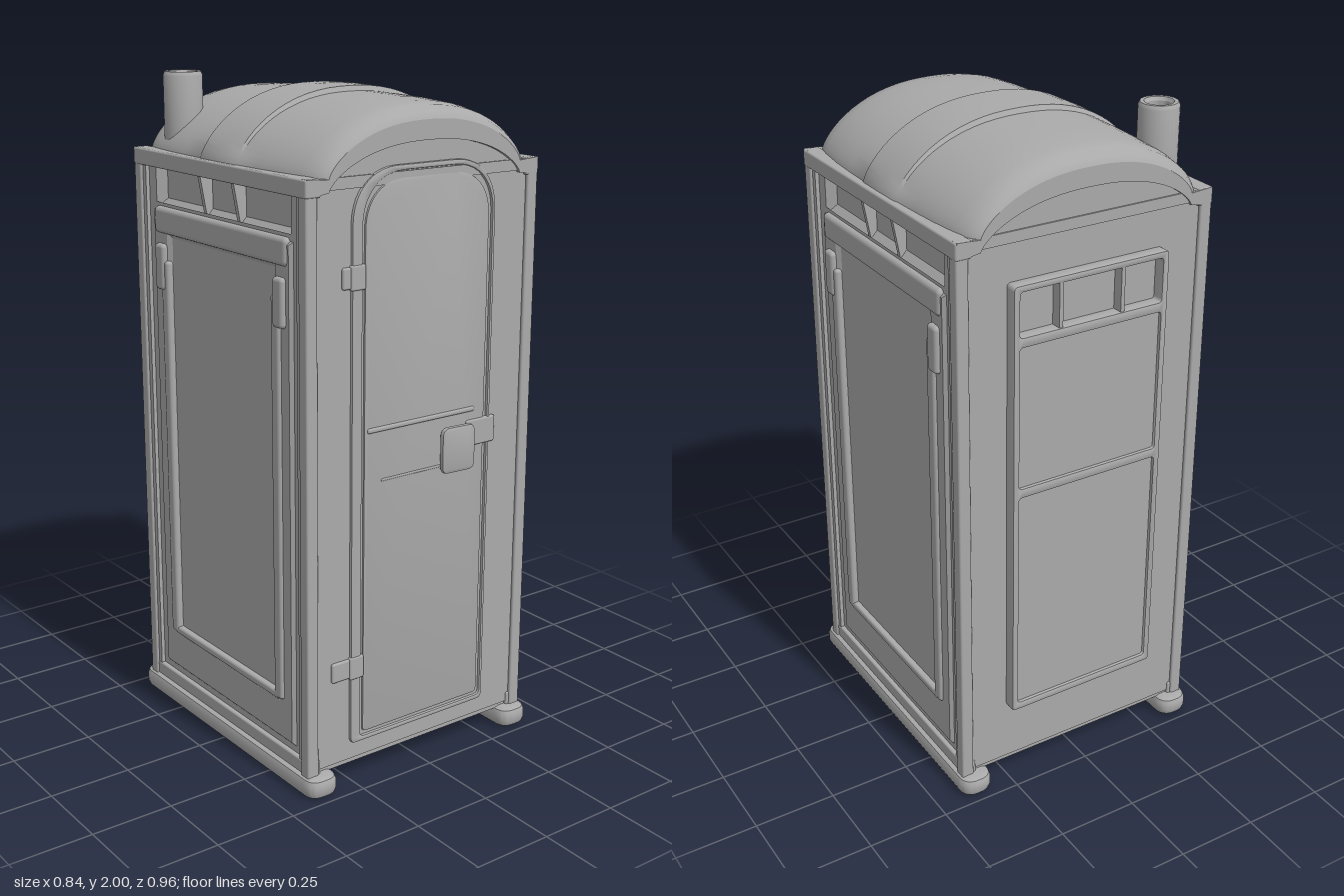
import * as THREE from 'three';
import { toCreasedNormals } from 'three/addons/utils/BufferGeometryUtils.js';
import { RoundedBoxGeometry } from 'three/addons/geometries/RoundedBoxGeometry.js';

const grey = new THREE.MeshStandardMaterial({ color: 0xaaaaaa, side: THREE.DoubleSide });
grey.name = 'grey plastic';

function add(parent, name, geometry, x = 0, y = 0, z = 0) {
  const mesh = new THREE.Mesh(geometry, grey);
  mesh.name = name;
  mesh.position.set(x, y, z);
  parent.add(mesh);
  return mesh;
}

function box(parent, name, x0, x1, y0, y1, z0, z1, radius = 0) {
  const s = [x1 - x0, y1 - y0, z1 - z0];
  const g = radius ? new RoundedBoxGeometry(...s, 3, radius) : new THREE.BoxGeometry(...s);
  return add(parent, name, g, (x0 + x1) / 2, (y0 + y1) / 2, (z0 + z1) / 2);
}

// Surface through rows of points
function loft(rows, crease = 0.5) {
  const n = rows[0].length, index = [];
  for (let r = 0; r < rows.length - 1; r++) {
    for (let c = 0; c < n - 1; c++) {
      const a = r * n + c;
      index.push(a, a + 1, a + n + 1, a, a + n + 1, a + n);
    }
  }
  const g = new THREE.BufferGeometry();
  g.setAttribute('position', new THREE.Float32BufferAttribute(rows.flat(2), 3));
  g.setIndex(index);
  return toCreasedNormals(g, crease);
}

// Stepped rectangular pan facing +x; each ring is [half depth, bottom, top, x]
function pan(rings) {
  const rows = rings.map(([w, y0, y1, x]) =>
    [[x, y0, w], [x, y0, -w], [x, y1, -w], [x, y1, w], [x, y0, w]]);
  const [, y0, y1, x] = rings[rings.length - 1];
  rows.push(Array(5).fill([x, (y0 + y1) / 2, 0]));
  return loft(rows, 0.1);
}

// Flattened arch used by the roof and both gables
function arch(w, h, base = 1.77, n = 32) {
  const pts = [];
  for (let i = 0; i <= n; i++) {
    const u = -Math.cos((i / n) * Math.PI);
    pts.push([w * u, base + h * Math.pow(Math.max(0, 1 - Math.abs(u) ** 2.3), 0.7)]);
  }
  return pts;
}

const shapeOf = (pts) => new THREE.Shape(pts.map(([x, y]) => new THREE.Vector2(x, y)));

function roundRect(x0, x1, y0, y1, rb, rt = rb) {
  const s = new THREE.Shape();
  s.moveTo(x0 + rb, y0).lineTo(x1 - rb, y0).quadraticCurveTo(x1, y0, x1, y0 + rb);
  s.lineTo(x1, y1 - rt).bezierCurveTo(x1, y1 - rt * 0.4, x1 - rt * 0.4, y1, x1 - rt, y1);
  s.lineTo(x0 + rt, y1).bezierCurveTo(x0 + rt * 0.4, y1, x0, y1 - rt * 0.4, x0, y1 - rt);
  s.lineTo(x0, y0 + rb).quadraticCurveTo(x0, y0, x0 + rb, y0);
  return s;
}

// Plate from z0 to z1 with softened edges
function plate(parent, name, shape, z0, z1, bevel = 0) {
  const g = new THREE.ExtrudeGeometry(shape, {
    depth: z1 - z0 - 2 * bevel, curveSegments: 10, bevelEnabled: bevel > 0,
    bevelThickness: bevel, bevelSize: bevel, bevelOffset: -bevel, bevelSegments: 2,
  });
  return add(parent, name, toCreasedNormals(g, 0.5), 0, 0, z0 + bevel);
}

// Wall with an arched top and a raised arch band
function gable(parent) {
  plate(parent, 'endWall', shapeOf([[-0.4, 0.07], [0.4, 0.07], [0.4, 1.77],
    ...arch(0.335, 0.135).reverse(), [-0.4, 1.77]]), 0.39, 0.435);
  plate(parent, 'archBand', shapeOf([[-0.405, 1.74], [-0.405, 1.775], ...arch(0.335, 0.135),
    [0.405, 1.775], [0.405, 1.74], [0.37, 1.73], ...arch(0.335, 0.115, 1.735).reverse(),
    [-0.37, 1.73]]), 0.42, 0.447);
}

function makeFront() {
  const g = new THREE.Group();
  g.name = 'front';
  gable(g);
  // Door rim around a slightly sunken leaf
  const rim = roundRect(-0.255, 0.25, 0.12, 1.79, 0.02, 0.15);
  rim.holes.push(roundRect(-0.22, 0.24, 0.135, 1.775, 0.015, 0.14));
  plate(g, 'doorRim', rim, 0.42, 0.444, 0.004);
  plate(g, 'doorLeaf', roundRect(-0.21, 0.23, 0.145, 1.755, 0.015, 0.13), 0.42, 0.441, 0.004);
  box(g, 'doorUpperRail', -0.2, 0.19, 1.055, 1.07, 0.43, 0.446, 0.006);
  box(g, 'doorLowerRail', -0.15, 0.08, 0.907, 0.915, 0.43, 0.443, 0.003);
  box(g, 'latchPlate', 0.16, 0.27, 0.95, 1.03, 0.42, 0.446, 0.006);
  // Handle, tilted away from the door towards its free edge
  const handle = plate(g, 'handle', roundRect(-0.059, 0.059, -0.07, 0.07, 0.025), -0.009, 0.009, 0.008);
  handle.position.set(0.113, 0.96, 0.461);
  handle.rotation.y = -0.06;
  for (const [y, x] of [[0.36, -0.32], [1.5, -0.285]]) {
    box(g, 'hingeLeaf', -0.26, -0.21, y - 0.035, y + 0.035, 0.42, 0.447, 0.006);
    box(g, 'hingeArm', x, -0.24, y - 0.03, y + 0.03, 0.42, 0.443, 0.006);
  }
  return g;
}

function makeBack() {
  const g = new THREE.Group();
  g.name = 'back';
  gable(g);
  // Framed panel with a three-part vent along its top
  const frame = roundRect(-0.25, 0.25, 0.26, 1.63, 0.012);
  const bays = [[0.285, 0.99], [1.02, 1.45], [1.48, 1.61]];
  for (const [c, d] of bays) frame.holes.push(roundRect(-0.23, 0.23, c, d, 0.01));
  plate(g, 'backFrame', frame, 0.42, 0.472, 0.005);
  for (const [c, d] of bays.slice(0, 2)) box(g, 'backPanel', -0.24, 0.24, c - 0.01, d + 0.01, 0.42, 0.462);
  for (const x of [-0.1, 0.1]) box(g, 'ventDivider', x - 0.006, x + 0.006, 1.47, 1.62, 0.42, 0.468);
  g.rotation.y = Math.PI;
  return g;
}

function makeSide(name, turn) {
  const g = new THREE.Group();
  g.name = name;
  add(g, 'sidePanel', pan([
    [0.42, 0.06, 1.62, 0.388], [0.36, 0.12, 1.6, 0.388], [0.35, 0.13, 1.59, 0.398],
    [0.285, 0.24, 1.54, 0.395], [0.27, 0.26, 1.52, 0.385],
  ]));
  add(g, 'sideVent', pan([
    [0.42, 1.6, 1.73, 0.388], [0.35, 1.6, 1.725, 0.388], [0.33, 1.63, 1.72, 0.36],
  ]));
  // Rolled sill, bottom bead and the slim ribs beside the panel
  box(g, 'ventSill', 0.37, 0.405, 1.53, 1.61, -0.345, 0.345, 0.015);
  box(g, 'panelBead', 0.38, 0.404, 0.245, 0.27, -0.29, 0.29, 0.008);
  for (const s of [1, -1]) {
    box(g, 'sideRib', 0.38, 0.406, 0.25, 1.45, s * 0.29 - 0.02, s * 0.29 + 0.02, 0.01);
    box(g, 'ribHead', 0.385, 0.412, 1.36, 1.5, s * 0.31 - 0.025, s * 0.31 + 0.025, 0.012);
    box(g, 'cornerPost', 0.37, 0.408, 0.05, 1.775, s * 0.426 - 0.019, s * 0.426 + 0.019, 0.006);
    // Triangular fin in the vent
    const fin = add(g, 'ventFin', new THREE.ExtrudeGeometry(
      shapeOf([[0.35, 1.61], [0.38, 1.61], [0.402, 1.73], [0.35, 1.73]]),
      { depth: 0.014, bevelEnabled: false }));
    fin.position.z = s * 0.087 - 0.007;
  }
  box(g, 'eaveRail', 0.36, 0.41, 1.725, 1.775, -0.447, 0.445, 0.006);
  box(g, 'baseRail', 0.36, 0.402, 0.05, 0.1, -0.44, 0.44, 0.006);
  g.rotation.y = turn;
  return g;
}

function makeRoof() {
  const g = new THREE.Group();
  g.name = 'roof';
  box(g, 'roofDeck', -0.4, 0.4, 1.74, 1.772, -0.44, 0.44);
  // Domed shell, with a raised centre band: [z, half width, rise]
  const half = [[0.447, 0.335, 0.135], [0.437, 0.348, 0.155], [0.415, 0.362, 0.169], [0.37, 0.372, 0.177],
    [0.28, 0.382, 0.182], [0.19, 0.387, 0.184], [0.097, 0.39, 0.185], [0.09, 0.394, 0.2]];
  const stations = [...half, [0, 0.395, 0.202], ...half.map(([z, w, h]) => [-z, w, h]).reverse()];
  add(g, 'roofShell', loft(stations.map(([z, w, h]) => arch(w, h).map(([x, y]) => [x, y, z])), 0.6));
  // Hollow vent pipe
  const pipe = [[0.058, 1.8], [0.058, 1.99], [0.053, 2], [0.042, 2], [0.036, 1.99], [0.036, 1.8]];
  const lathe = new THREE.LatheGeometry(pipe.map(([r, y]) => new THREE.Vector2(r, y)), 28);
  add(g, 'ventPipe', toCreasedNormals(lathe, 0.5), -0.305, 0, -0.32);
  return g;
}

export function createModel() {
  const model = new THREE.Group();
  model.name = 'portableCabin';
  model.add(makeFront(), makeBack(), makeSide('leftSide', 0), makeSide('rightSide', Math.PI), makeRoof());
  box(model, 'floor', -0.39, 0.39, 0.055, 0.09, -0.43, 0.43);
  // Runners with rounded ends
  for (const s of [1, -1]) {
    const runner = plate(model, 'runner', roundRect(-0.052, 0.052, -0.48, 0.48, 0.045), 0, 0.06, 0.018);
    runner.rotation.x = -Math.PI / 2;
    runner.position.set(s * 0.368, 0.018, 0);
  }
  return model;
}
